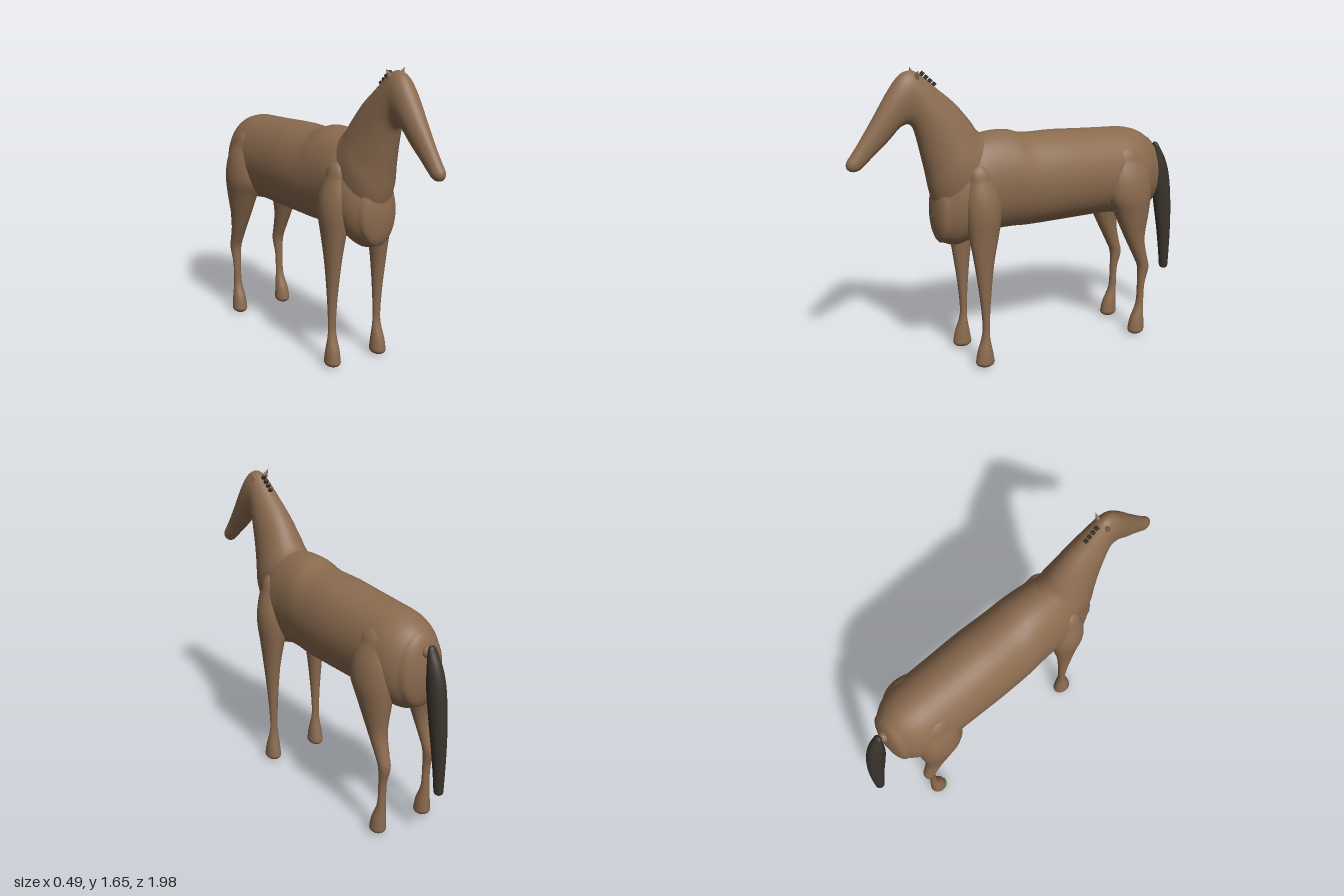
import * as THREE from 'three';

const coat = new THREE.MeshStandardMaterial({ color: 0x8b6b4f });
coat.name = 'brown coat';
const hair = new THREE.MeshStandardMaterial({ color: 0x39332b });
hair.name = 'dark hair';

// Smooth interpolation through a list of number tuples
function sample(list, t) {
  const n = list.length - 1;
  const i = Math.min(Math.floor(t * n), n - 1);
  const f = t * n - i;
  const a = list[Math.max(i - 1, 0)], b = list[i], c = list[i + 1], d = list[Math.min(i + 2, n)];
  return b.map((v, k) => {
    const m0 = (c[k] - a[k]) / 2, m1 = (d[k] - b[k]) / 2, e = c[k] - v;
    return v + f * (m0 + f * (3 * e - 2 * m0 - m1 + f * (m0 + m1 - 2 * e)));
  });
}

// Elliptical loft. Each section: [zA, yA, zB, yB, halfWidth, centreX],
// where A and B are opposite outline points; both ends get rounded caps.
function loft(sections, capStart, capEnd, sides = 32) {
  const steps = (sections.length - 1) * 5;
  const rings = [];
  for (let i = 0; i <= steps; i++) {
    const [zA, yA, zB, yB, w, x = 0] = sample(sections, i / steps);
    rings.push({
      c: new THREE.Vector3(x, (yA + yB) / 2, (zA + zB) / 2),
      v: new THREE.Vector3(0, (yA - yB) / 2, (zA - zB) / 2), w
    });
  }
  const dome = (ring, next, depth) => {
    const dir = ring.c.clone().sub(next.c).normalize();
    return [1, 2, 3, 4, 5, 6].map(k => {
      const a = k * Math.PI / 12, s = Math.max(Math.cos(a), 0.01);
      return {
        c: ring.c.clone().addScaledVector(dir, depth * Math.sin(a)),
        v: ring.v.clone().multiplyScalar(s), w: ring.w * s
      };
    });
  };
  const all = [
    ...dome(rings[0], rings[1], capStart).reverse(),
    ...rings,
    ...dome(rings[steps], rings[steps - 1], capEnd)
  ];
  const pos = [], idx = [];
  for (const { c, v, w } of all) {
    for (let j = 0; j < sides; j++) {
      const a = j / sides * Math.PI * 2, s = Math.sin(a);
      pos.push(c.x + w * Math.cos(a), c.y + v.y * s, c.z + v.z * s);
    }
  }
  const mid = Math.floor(all.length / 2);
  const along = all[mid + 1].c.clone().sub(all[mid].c);
  const outward = new THREE.Vector3(1, 0, 0).cross(all[mid].v).dot(along) > 0;
  const tri = (a, b, c) => outward ? idx.push(a, b, c) : idx.push(a, c, b);
  for (let i = 0; i < all.length - 1; i++) {
    for (let j = 0; j < sides; j++) {
      const k = (j + 1) % sides, p = i * sides, q = p + sides;
      tri(p + j, p + k, q + k);
      tri(p + j, q + k, q + j);
    }
  }
  const geo = new THREE.BufferGeometry();
  geo.setAttribute('position', new THREE.Float32BufferAttribute(pos, 3));
  geo.setIndex(idx);
  geo.computeVertexNormals();
  return geo;
}

export function createModel() {
  const group = new THREE.Group();
  group.name = 'horse';
  const add = (name, geo, mat = coat) => {
    const mesh = new THREE.Mesh(geo, mat);
    mesh.name = name;
    group.add(mesh);
    return mesh;
  };

  // Barrel from rump to chest: [z, top, bottom, halfWidth]
  const barrel = [
    [-0.80, 1.15, 0.745, 0.135], [-0.74, 1.19, 0.718, 0.175], [-0.65, 1.217, 0.72, 0.198],
    [-0.52, 1.227, 0.738, 0.2], [-0.36, 1.238, 0.74, 0.203], [-0.2, 1.25, 0.74, 0.205],
    [-0.02, 1.255, 0.74, 0.2], [0.08, 1.283, 0.745, 0.193], [0.2, 1.285, 0.742, 0.185],
    [0.3, 1.26, 0.715, 0.18], [0.4, 1.17, 0.688, 0.155], [0.47, 1.08, 0.71, 0.115]
  ].map(([z, top, bottom, w]) => [z, top, z, bottom, w]);
  add('body', loft(barrel, 0.057, 0.055, 40));

  // Neck and head in one sweep from withers to muzzle
  add('neckAndHead', loft([
    [0.06, 1.2, 0.48, 0.84, 0.15], [0.24, 1.285, 0.525, 0.98, 0.145],
    [0.305, 1.365, 0.55, 1.1, 0.125], [0.38, 1.455, 0.573, 1.2, 0.106],
    [0.47, 1.535, 0.594, 1.29, 0.09], [0.545, 1.6, 0.612, 1.345, 0.077],
    [0.61, 1.645, 0.635, 1.37, 0.068], [0.675, 1.63, 0.66, 1.372, 0.066],
    [0.74, 1.555, 0.695, 1.355, 0.062], [0.835, 1.41, 0.75, 1.3, 0.051],
    [0.91, 1.3, 0.82, 1.24, 0.04], [0.965, 1.225, 0.893, 1.178, 0.035]
  ], 0.03, 0.05));

  // Legs: [y, zFront, zBack, halfWidth, centreX]
  const foreLeg = [
    [1.07, 0.365, 0.23, 0.05, 0.135], [0.97, 0.385, 0.195, 0.075, 0.14],
    [0.87, 0.385, 0.19, 0.077, 0.145], [0.75, 0.37, 0.207, 0.06, 0.147],
    [0.6, 0.345, 0.235, 0.042, 0.15], [0.4, 0.316, 0.255, 0.028, 0.15],
    [0.24, 0.302, 0.264, 0.022, 0.15], [0.17, 0.31, 0.262, 0.027, 0.15],
    [0.1, 0.333, 0.249, 0.037, 0.152], [0.035, 0.345, 0.238, 0.042, 0.153]
  ];
  const hindLeg = [
    [1.07, -0.5, -0.7, 0.06, 0.13], [0.98, -0.475, -0.735, 0.085, 0.143],
    [0.87, -0.475, -0.745, 0.093, 0.15], [0.76, -0.525, -0.738, 0.078, 0.15],
    [0.6, -0.6, -0.718, 0.05, 0.15], [0.48, -0.66, -0.74, 0.037, 0.15],
    [0.41, -0.688, -0.755, 0.032, 0.15], [0.31, -0.69, -0.732, 0.023, 0.15],
    [0.19, -0.684, -0.728, 0.024, 0.15], [0.1, -0.648, -0.73, 0.037, 0.152],
    [0.035, -0.634, -0.732, 0.042, 0.153]
  ];
  for (const [label, side] of [['left', 1], ['right', -1]]) {
    for (const [kind, leg] of [['ForeLeg', foreLeg], ['HindLeg', hindLeg]]) {
      const sections = leg.map(([y, zF, zB, w, x]) => [zF, y, zB, y, w, x * side]);
      add(label + kind, loft(sections, 0.08, 0.03));
    }
    // Short ears tipping outwards
    const ear = add(label + 'Ear', new THREE.ConeGeometry(0.024, 0.06, 16));
    ear.position.set(side * 0.042, 1.63, 0.6);
    ear.rotation.z = -side * 0.6;
    ear.scale.z = 0.7;
  }

  // Tail root and hanging tail
  const dock = add('tailRoot', new THREE.SphereGeometry(0.03, 20, 14));
  dock.position.set(0, 1.06, -0.845);
  add('tail', loft([
    [-0.863, 1.07, -0.9, 1.08, 0.026], [-0.863, 0.98, -0.945, 1.0, 0.04],
    [-0.867, 0.87, -0.977, 0.89, 0.045], [-0.89, 0.72, -0.995, 0.72, 0.043],
    [-0.915, 0.57, -1.0, 0.56, 0.036], [-0.932, 0.44, -0.999, 0.44, 0.029],
    [-0.943, 0.335, -0.996, 0.335, 0.024]
  ], 0.03, 0.022, 24), hair);

  // Row of small mane tufts behind the poll
  for (let i = 0; i < 4; i++) {
    const tuft = add('maneTuft', new THREE.BoxGeometry(0.02, 0.024, 0.015), hair);
    tuft.position.set(0, 1.624 - i * 0.02, 0.558 - i * 0.021);
    tuft.rotation.x = -0.75;
  }
  return group;
}
